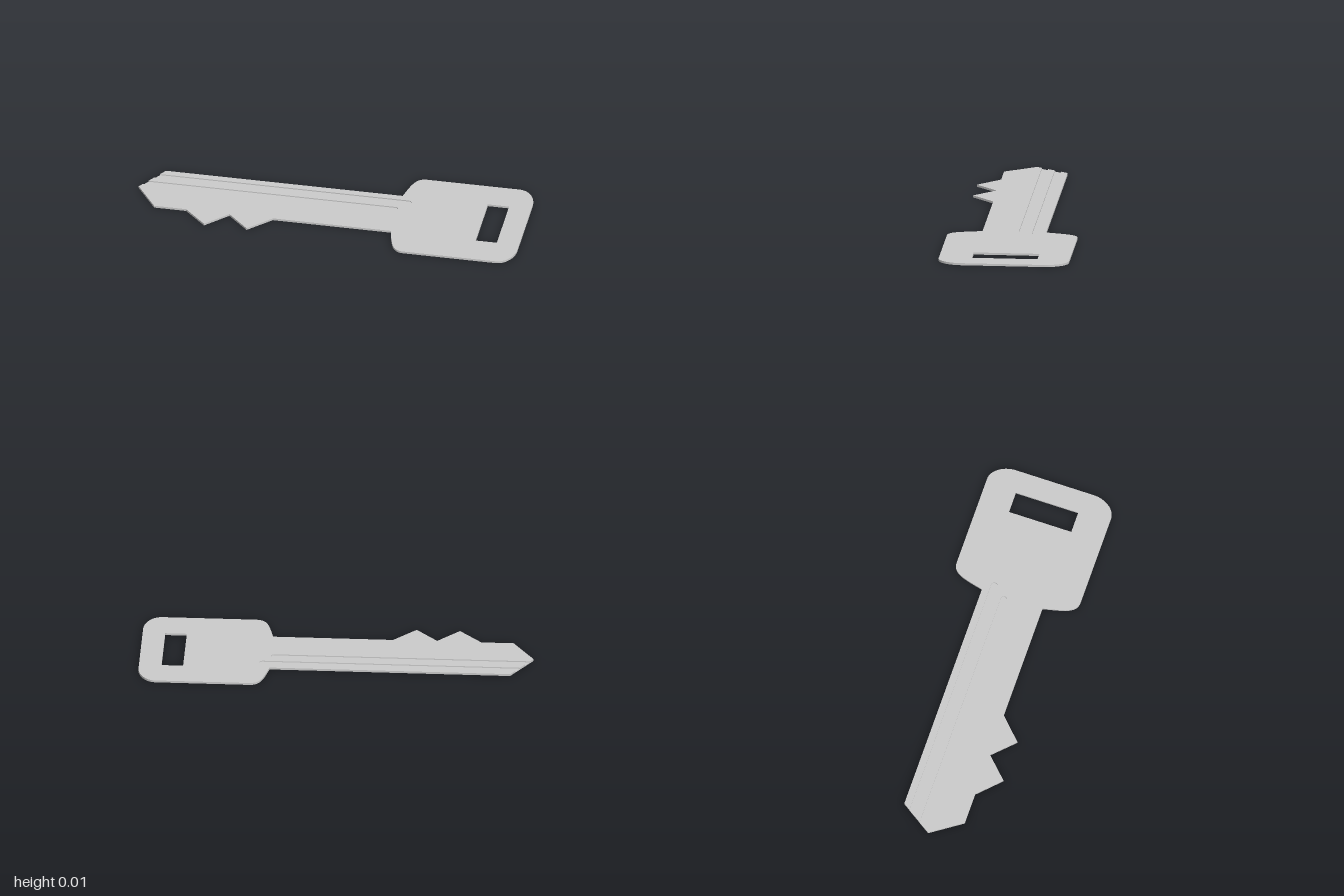
import * as THREE from 'three';
import { toCreasedNormals } from 'three/addons/utils/BufferGeometryUtils.js';

const THICKNESS = 0.011;
const FLOOR = 0.005; // height of the groove floors
const GROOVE_RADIUS = 0.017;
const GROOVES = [{ y: 0.112, end: 0.39 }, { y: 0.042, end: 0.335 }];

// Plan outline of the key (shape y points to the back, -z)
function keyOutline(grooved) {
  const s = new THREE.Shape();
  s.moveTo(-1, 0);
  // toothed edge of the blade
  [[-0.89, -0.16], [-0.725, -0.16], [-0.61, -0.273], [-0.5, -0.163], [-0.39, -0.273],
    [-0.275, -0.16], [0.335, -0.16]].forEach(([x, y]) => s.lineTo(x, y));
  // head with flared shoulders and rounded corners
  s.bezierCurveTo(0.36, -0.27, 0.37, -0.333, 0.43, -0.333);
  s.lineTo(0.91, -0.333);
  s.bezierCurveTo(0.96, -0.333, 1, -0.27, 1, -0.21);
  s.lineTo(1, 0.21);
  s.bezierCurveTo(1, 0.27, 0.96, 0.333, 0.91, 0.333);
  s.lineTo(0.43, 0.333);
  s.bezierCurveTo(0.37, 0.333, 0.36, 0.27, 0.335, 0.165);
  // plain edge of the blade
  s.lineTo(-0.89, 0.165);
  // grooves run in from the slanted tip and end round
  if (grooved) {
    const tipX = (y) => -1 + (0.11 * y) / 0.165;
    const r = GROOVE_RADIUS;
    for (const { y, end } of GROOVES) {
      s.lineTo(tipX(y + r), y + r);
      s.lineTo(end - r, y + r);
      s.absarc(end - r, y, r, Math.PI / 2, -Math.PI / 2, true);
      s.lineTo(tipX(y - r), y - r);
    }
  }
  s.closePath();

  // slot for the key ring
  const slot = new THREE.Path();
  slot.moveTo(0.775, -0.165);
  slot.lineTo(0.775, 0.17);
  slot.lineTo(0.885, 0.17);
  slot.lineTo(0.885, -0.165);
  slot.closePath();
  s.holes.push(slot);
  return s;
}

// Flat layer between two heights
function layer(name, grooved, bottom, top, material) {
  const geo = new THREE.ExtrudeGeometry(keyOutline(grooved), {
    depth: top - bottom, bevelEnabled: false, curveSegments: 14,
  });
  geo.rotateX(-Math.PI / 2).translate(0, bottom, 0);
  const mesh = new THREE.Mesh(toCreasedNormals(geo, 0.5), material);
  mesh.name = name;
  return mesh;
}

export function createModel() {
  const material = new THREE.MeshStandardMaterial({ color: 0xcccccc });
  const key = new THREE.Group();
  key.name = 'key';
  key.add(
    layer('keyBase', false, 0, FLOOR, material),
    layer('groovedTop', true, FLOOR, THICKNESS, material),
  );
  return key;
}
